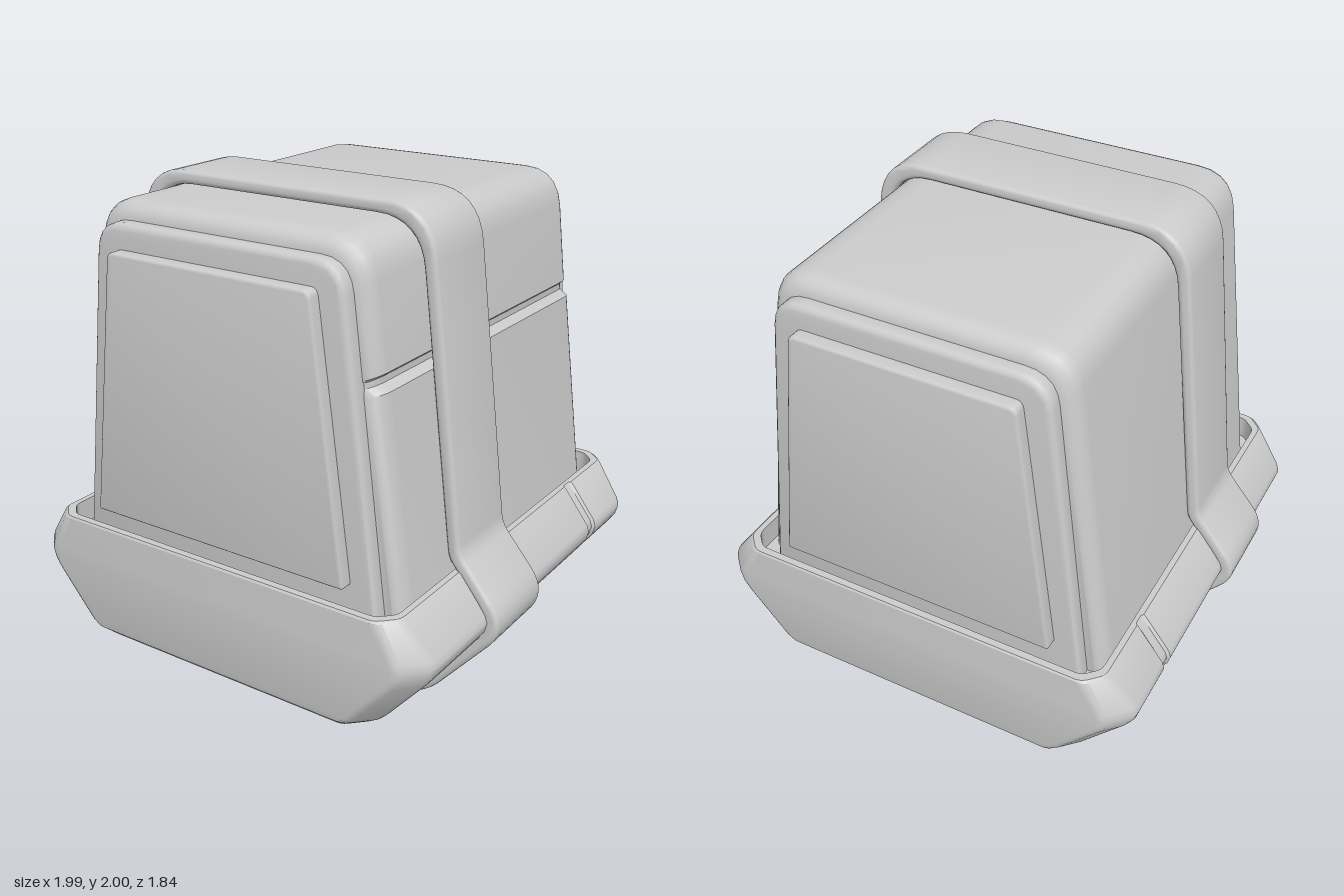
import * as THREE from 'three';
import { toCreasedNormals } from 'three/addons/utils/BufferGeometryUtils.js';

const V2 = (x, y) => new THREE.Vector2(x, y);

// Round the corners of a closed polygon of [x, y, cut] entries
function rounded(poly, steps = 5) {
  const out = [], n = poly.length;
  poly.forEach(([x, y, r = 0], i) => {
    const p = V2(x, y);
    if (!r) { out.push(p); return; }
    const toward = (q) => V2(q[0], q[1]).sub(p).setLength(r).add(p);
    const curve = new THREE.QuadraticBezierCurve(
      toward(poly[(i + n - 1) % n]), p, toward(poly[(i + 1) % n]));
    out.push(...curve.getPoints(steps));
  });
  return out;
}

// Complete a right-hand outline (bottom to top) with its mirror image
const mirrored = (half) => [...half, ...half.map(([x, y, r]) => [-x, y, r]).reverse()];

// Move every edge of a counter-clockwise polygon inward by t
function inset(poly, t) {
  const n = poly.length;
  return poly.map(([x, y, r], i) => {
    const a = poly[(i + n - 1) % n], b = poly[(i + 1) % n];
    const n1 = V2(a[1] - y, x - a[0]).normalize();
    const n2 = V2(y - b[1], b[0] - x).normalize();
    const m = n1.clone().add(n2).multiplyScalar(t / (1 + n1.dot(n2)));
    return [x + m.x, y + m.y, r * 0.9];
  });
}

// Bevelled prism between two z positions
function prism(outline, z0, z1, bevel, hole) {
  const shape = new THREE.Shape(outline);
  if (hole) shape.holes.push(new THREE.Path(hole));
  const g = new THREE.ExtrudeGeometry(shape, {
    depth: z1 - z0 - 2 * bevel, bevelThickness: bevel, bevelSize: bevel,
    bevelOffset: -bevel, bevelSegments: 3,
  });
  g.translate(0, 0, z0 + bevel);
  return toCreasedNormals(g, 0.6);
}

// Skin a stack of matching rings { pts, z } and close both ends
function loft(rings) {
  const n = rings[0].pts.length, pos = [], idx = [];
  rings.forEach(({ pts, z }) => pts.forEach((p) => pos.push(p.x, p.y, z)));
  for (let i = 0; i < rings.length - 1; i++) {
    for (let j = 0; j < n; j++) {
      const k = (j + 1) % n, a = i * n, b = a + n;
      idx.push(a + j, a + k, b + k, a + j, b + k, b + j);
    }
  }
  const last = (rings.length - 1) * n;
  THREE.ShapeUtils.triangulateShape(rings[0].pts, [])
    .forEach(([a, b, c]) => idx.push(a, c, b));
  THREE.ShapeUtils.triangulateShape(rings[rings.length - 1].pts, [])
    .forEach(([a, b, c]) => idx.push(last + a, last + b, last + c));
  const g = new THREE.BufferGeometry();
  g.setAttribute('position', new THREE.Float32BufferAttribute(pos, 3));
  g.setIndex(idx);
  return toCreasedNormals(g, 0.6);
}

// Tapered body with rounded ends and a groove on its left side
function bodyGeometry() {
  const outline = rounded([
    [0.8, 0.45], [0.674, 1.4], [0.64, 1.425], [0.64, 1.45], [0.657, 1.465],
    [0.6, 1.94, 0.15], [-0.6, 1.94, 0.15], [-0.8, 0.45],
  ]);
  const rings = [], steps = 5;
  const ring = (z, d) => rings.push({
    z, pts: outline.map((p) => V2(p.x * (1 - d / 0.7), 1.2 + (p.y - 1.2) * (1 - d / 0.74))),
  });
  for (let i = 0; i <= steps; i++) {
    const a = (i / steps) * Math.PI / 2;
    ring(-0.69 - 0.08 * Math.cos(a), 0.07 * (1 - Math.sin(a)));
  }
  for (let i = steps; i >= 0; i--) {
    const a = (i / steps) * Math.PI / 2;
    ring(0.69 + 0.08 * Math.cos(a), 0.07 * (1 - Math.sin(a)));
  }
  return loft(rings);
}

// Horizontal tray section: chamfered rectangle with a seam notch on each side
function traySection(hx, hz, c, notch) {
  const r = 0.025;
  const side = [
    [hx - c, -hz, r], [hx, -hz + c, r],
    [hx, 0.49], [hx - notch, 0.5], [hx - notch, 0.545], [hx, 0.555],
    [hx, hz - c, r], [hx - c, hz, r],
  ];
  return rounded(mirrored(side), 3);
}

function trayGeometry() {
  // height, half width, half depth, corner chamfer, seam depth
  const levels = [
    [0.055, 0.58, 0.79, 0.07, 0], [0.062, 0.625, 0.82, 0.08, 0.012],
    [0.09, 0.665, 0.855, 0.09, 0.012], [0.145, 0.72, 0.915, 0.1, 0.012],
    [0.17, 0.745, 0.92, 0.1, 0.012], [0.36, 0.91, 0.92, 0.1, 0.012],
    [0.4, 0.937, 0.92, 0.1, 0.012], [0.44, 0.948, 0.92, 0.1, 0.012],
    [0.47, 0.938, 0.92, 0.1, 0.012], [0.612, 0.83, 0.918, 0.07, 0.012],
    [0.62, 0.82, 0.912, 0.07, 0.008], [0.62, 0.795, 0.882, 0.06, 0],
    [0.52, 0.795, 0.882, 0.06, 0],
  ];
  const g = loft(levels.map(([z, hx, hz, c, s]) => ({ z, pts: traySection(hx, hz, c, s) })));
  return g.rotateX(-Math.PI / 2);
}

export function createModel() {
  const model = new THREE.Group();
  const material = new THREE.MeshStandardMaterial({ color: 0xcccccc });
  const add = (name, geometry) => {
    const mesh = new THREE.Mesh(geometry, material);
    mesh.name = name;
    model.add(mesh);
    return mesh;
  };

  add('body', bodyGeometry());
  add('baseTray', trayGeometry());

  // Band wrapped around body and tray
  const band = mirrored([
    [0.655, 0, 0.13], [1.035, 0.43, 0.13], [0.82, 0.685, 0.04], [0.662, 2, 0.2],
  ]);
  add('strap', prism(rounded(band, 8), 0.07, 0.43, 0.018, rounded(inset(band, 0.055), 8)));

  // End plate and raised panel, front and back
  const plate = rounded(mirrored([[0.714, 0.5], [0.553, 1.87, 0.12]]));
  const panel = rounded(mirrored([[0.597, 0.68, 0.012], [0.46, 1.77, 0.03]]));
  for (const [name, turn] of [['front', 0], ['back', Math.PI]]) {
    add(name + 'Plate', prism(plate, 0.74, 0.83, 0.025)).rotation.y = turn;
    add(name + 'Panel', prism(panel, 0.8, 0.885, 0.012)).rotation.y = turn;
  }
  return model;
}
